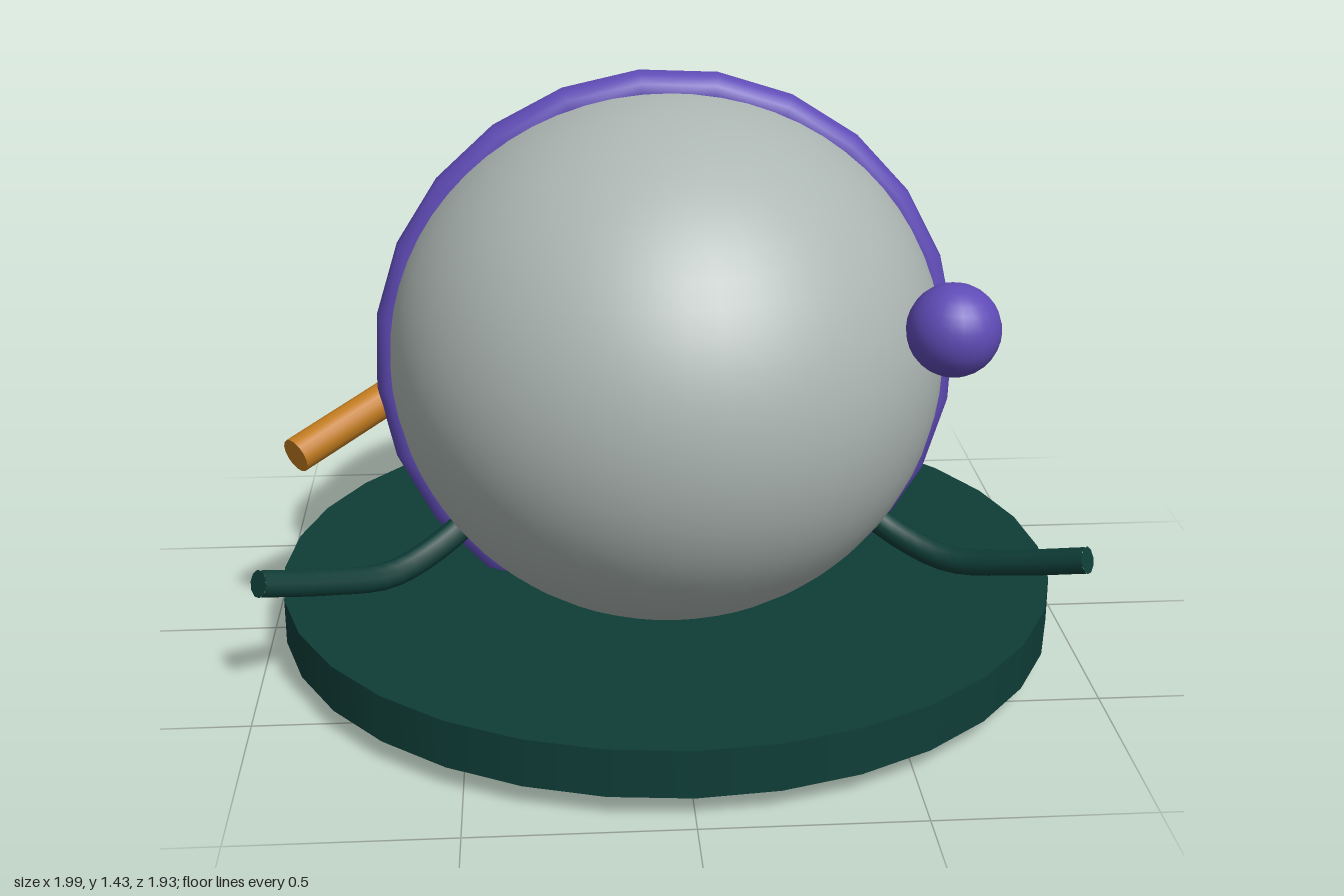
import * as THREE from 'three';

function mat(name, color) {
  const m = new THREE.MeshStandardMaterial({ color });
  m.name = name;
  return m;
}

export function createModel() {
  const model = new THREE.Group();
  const grey = mat('pale grey', 0xacb6b2);
  const teal = mat('dark teal', 0x0f3d37);
  const purple = mat('purple', 0x5f4bb6);
  const red = mat('coral red', 0xc85a58);
  const orange = mat('amber', 0xc27c20);

  function add(name, geometry, material, x = 0, y = 0, z = 0, parent = model) {
    const mesh = new THREE.Mesh(geometry, material);
    mesh.name = name;
    mesh.position.set(x, y, z);
    parent.add(mesh);
    return mesh;
  }

  // Straight capped rod between two points
  function rod(name, a, b, radius, material, sides, parent = model) {
    const dir = b.clone().sub(a);
    const mid = a.clone().add(b).multiplyScalar(0.5);
    const mesh = add(name, new THREE.CylinderGeometry(radius, radius, dir.length(), sides),
      material, mid.x, mid.y, mid.z, parent);
    mesh.quaternion.setFromUnitVectors(new THREE.Vector3(0, 1, 0), dir.normalize());
    return mesh;
  }

  // Egg-shaped body
  add('body', new THREE.SphereGeometry(1, 48, 32), grey, -0.002, 0.735, 0)
    .scale.set(0.675, 0.647, 0.733);

  // Round base disc
  add('base', new THREE.CylinderGeometry(0.965, 0.965, 0.115, 32), teal, -0.002, 0.113, 0);

  // Band around the body, very slightly tilted
  add('band', new THREE.TorusGeometry(0.663, 0.053, 12, 24), purple, 0, 0.715, 0)
    .rotation.set(-0.02, -0.008, 0.09);

  // Small ball at the front left
  add('ball', new THREE.SphereGeometry(0.105, 24, 16), purple, 0.597, 0.953, 0.542);

  // Button on the side of the band
  rod('button', new THREE.Vector3(0.645, 0.76, 0.003), new THREE.Vector3(0.734, 0.773, 0.003),
    0.048, red, 16);

  // Spout on the right side
  rod('spout', new THREE.Vector3(-0.555, 0.655, -0.175), new THREE.Vector3(-0.905, 0.527, 0.13),
    0.044, orange, 16);

  // Curved arms, mirrored, with closed outer ends
  for (const side of [-1, 1]) {
    const arm = new THREE.Group();
    arm.name = side > 0 ? 'leftArm' : 'rightArm';
    const points = [[0.45, 0.345, 0.025], [0.58, 0.265, 0.115], [0.69, 0.236, 0.2],
      [0.83, 0.272, 0.305], [0.973, 0.325, 0.415]]
      .map(([x, y, z]) => new THREE.Vector3(side * x, y, z));
    const curve = new THREE.CatmullRomCurve3(points);
    add('armTube', new THREE.TubeGeometry(curve, 16, 0.033, 10), teal, 0, 0, 0, arm);
    const tip = curve.getPoint(1);
    const cap = add('armTip', new THREE.CircleGeometry(0.033, 10), teal, tip.x, tip.y, tip.z, arm);
    cap.quaternion.setFromUnitVectors(new THREE.Vector3(0, 0, 1), curve.getTangent(1));
    model.add(arm);
  }

  return model;
}
